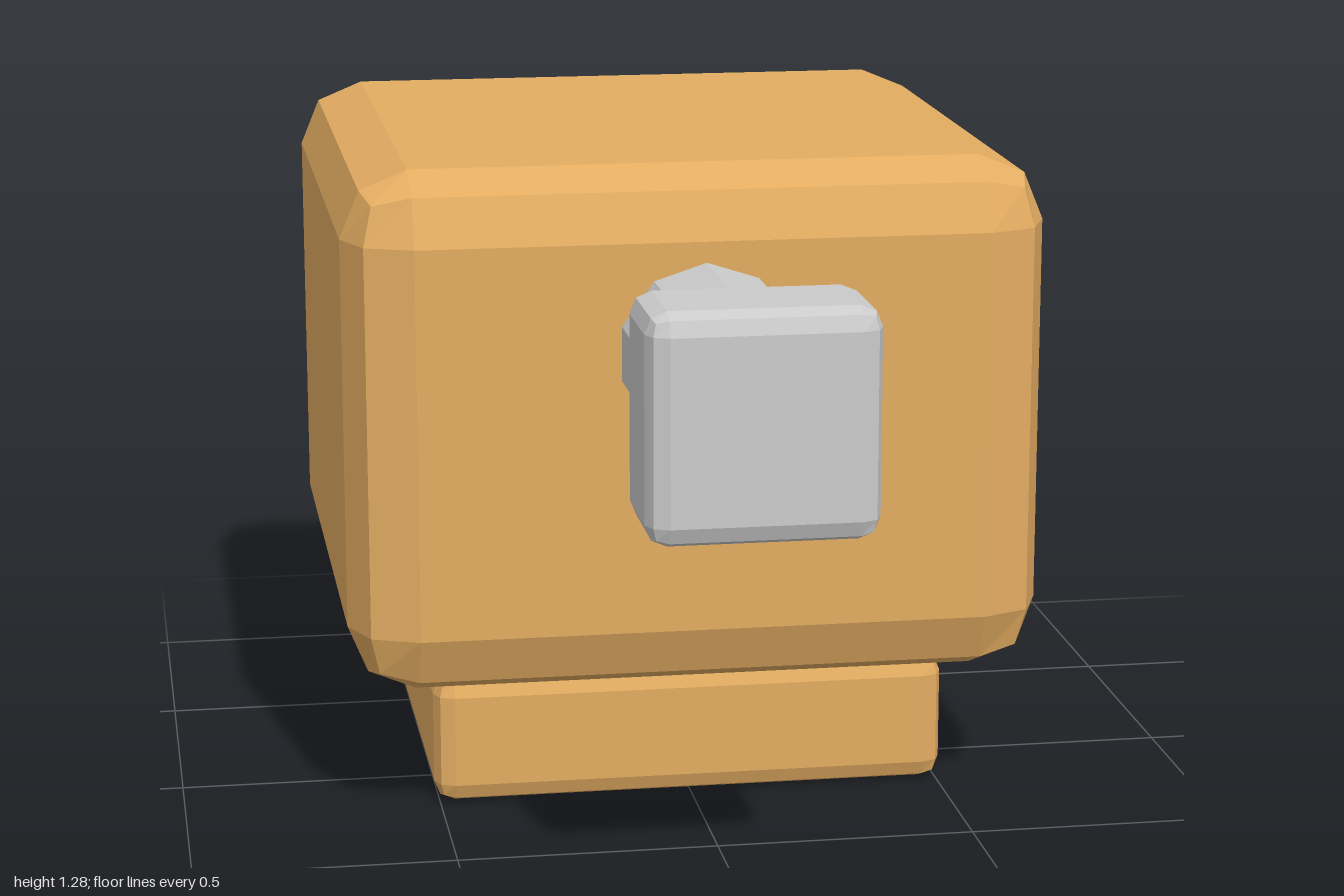
import * as THREE from 'three';
import { RoundedBoxGeometry } from 'three/addons/geometries/RoundedBoxGeometry.js';

const wood = new THREE.MeshStandardMaterial({ color: 0xe4ad62, flatShading: true });
const grey = new THREE.MeshStandardMaterial({ color: 0xcccccc, flatShading: true });

// Box with a two-step bevel, given by its ranges on y and z
function bevelBox(name, width, [y0, y1], [z0, z1], bevel, material) {
  const mesh = new THREE.Mesh(new RoundedBoxGeometry(width, y1 - y0, z1 - z0, 1, bevel), material);
  mesh.position.set(0, (y0 + y1) / 2, (z0 + z1) / 2);
  mesh.name = name;
  return mesh;
}

export function createModel() {
  const model = new THREE.Group();
  model.name = 'malletOnBase';

  // Block and the plinth it rests on
  model.add(bevelBox('base', 1.02, [0, 0.26], [-0.83, 0.19], 0.04, wood));
  model.add(bevelBox('body', 1.36, [0.26, 1.28], [-1, 0.36], 0.13, wood));

  // Ten-sided shaft running forward from the body
  const shaft = new THREE.Mesh(new THREE.CylinderGeometry(0.17, 0.17, 0.5, 10), grey);
  shaft.rotation.x = Math.PI / 2;
  shaft.position.set(0, 0.94, 0.55);
  shaft.name = 'shaft';
  model.add(shaft);

  // Square head on the end of the shaft
  model.add(bevelBox('head', 0.42, [0.73, 1.15], [0.745, 1], 0.04, grey));

  return model;
}
